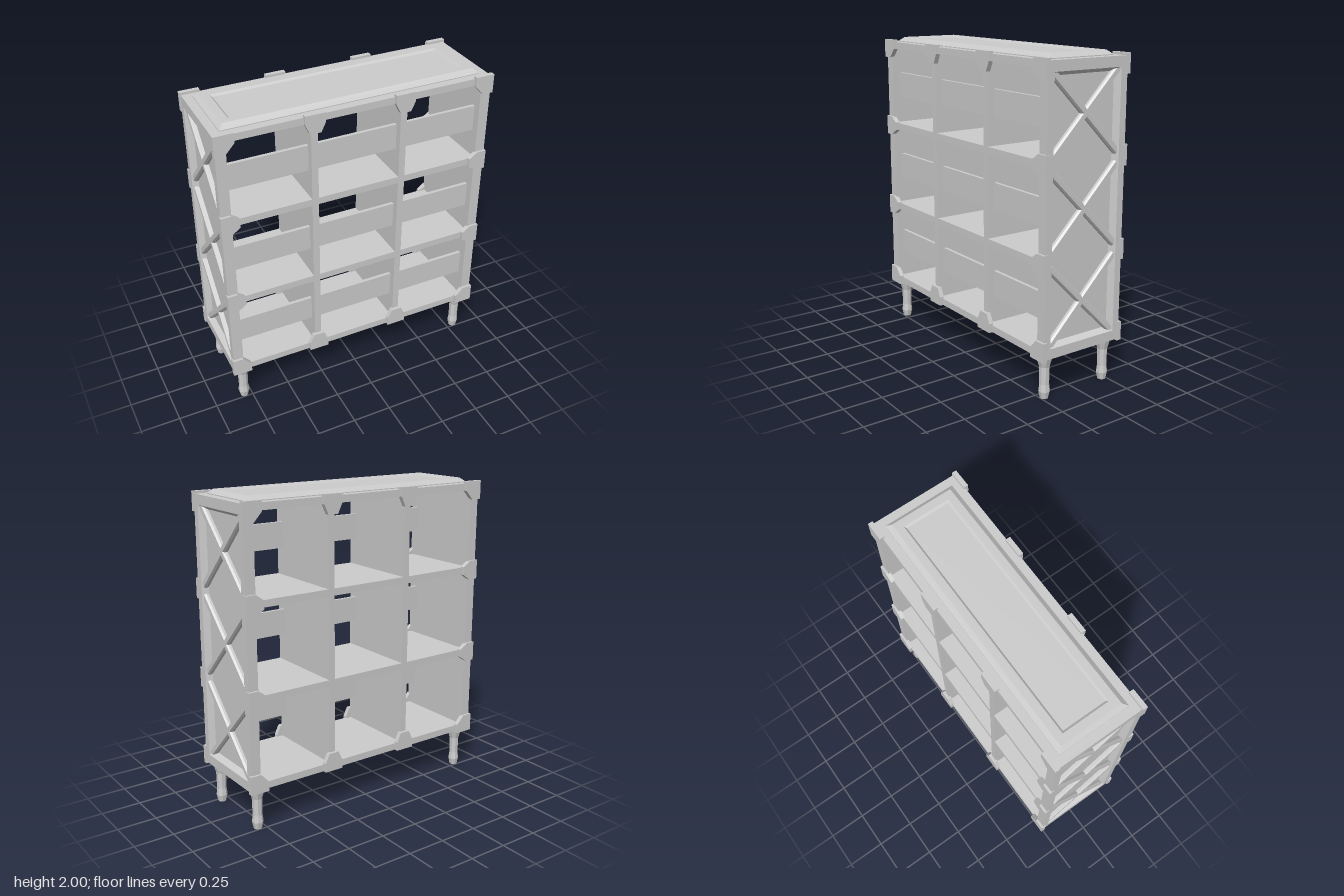
import * as THREE from 'three';

const material = new THREE.MeshStandardMaterial({ color: 0xcccccc, flatShading: true });

function add(parent, name, geometry, x = 0, y = 0, z = 0) {
  const mesh = new THREE.Mesh(geometry, material);
  mesh.name = name;
  mesh.position.set(x, y, z);
  parent.add(mesh);
  return mesh;
}

// Solid built from rectangles [halfWidth, halfHeight, level] joined in order and capped at both ends
function rectLoft(levels) {
  const loops = levels.map(([w, h, d]) => [[-w, -h, d], [w, -h, d], [w, h, d], [-w, h, d]]);
  const points = [];
  const quad = (a, b, c, d) => points.push(...a, ...b, ...c, ...a, ...c, ...d);
  for (let i = 0; i < loops.length - 1; i++) {
    for (let k = 0; k < 4; k++) {
      const n = (k + 1) % 4;
      quad(loops[i][k], loops[i][n], loops[i + 1][n], loops[i + 1][k]);
    }
  }
  const first = loops[0], last = loops[loops.length - 1];
  quad(first[3], first[2], first[1], first[0]);
  quad(...last);
  const geometry = new THREE.BufferGeometry();
  geometry.setAttribute('position', new THREE.Float32BufferAttribute(points, 3));
  geometry.computeVertexNormals();
  return geometry;
}

// Flat plate cut from an outline, mirrored by sx and sy
function plate(outline, sx = 1, sy = 1) {
  const shape = new THREE.Shape(outline.map(([x, y]) => new THREE.Vector2(x * sx, y * sy)));
  return new THREE.ExtrudeGeometry(shape, { depth: 0.03, bevelEnabled: false });
}

export function createModel() {
  const model = new THREE.Group();
  model.name = 'bookcase';

  // Boards: bottom, two shelves and top
  const boards = [['bottomBoard', 0.2925], ['shelf', 0.8375], ['shelf', 1.4025], ['topBoard', 1.948]];
  for (const [name, y] of boards) {
    add(model, name, new THREE.BoxGeometry(1.63, 0.044, 0.56), 0, y, 0);
  }

  // Upright dividers
  for (const x of [-0.285, 0.285]) {
    add(model, 'divider', new THREE.BoxGeometry(0.042, 1.66, 0.56), x, 1.12, 0);
  }

  // Rails across the front of each row
  for (const y of [0.565, 1.12, 1.68]) {
    add(model, 'frontRail', new THREE.BoxGeometry(1.63, 0.164, 0.022), 0, y, 0.224);
  }

  // Raised top with a sloped rim and a sunken centre
  const top = rectLoft([
    [0.815, 0.227, 0], [0.815, 0.227, 0.01], [0.787, 0.197, 0.035],
    [0.738, 0.15, 0.035], [0.725, 0.138, 0.024],
  ]);
  add(model, 'topPanel', top, 0, 1.965, 0).rotation.x = -Math.PI / 2;

  // Side frames with a recessed panel and three cross braces
  const sideGeometry = rectLoft([
    [0.285, 0.85, 0], [0.285, 0.85, 0.065], [0.24, 0.788, 0.065], [0.217, 0.765, 0.028],
  ]);
  const braceGeometry = rectLoft([[0.34, 0.023, 0], [0.34, 0.023, 0.018], [0.34, 0.014, 0.03]]);
  for (const s of [-1, 1]) {
    const side = new THREE.Group();
    side.name = s > 0 ? 'leftSide' : 'rightSide';
    side.position.set(s * 0.805, 1.12, 0);
    side.rotation.y = s * Math.PI / 2;
    add(side, 'sideFrame', sideGeometry);
    for (const y of [-0.548, 0, 0.548]) {
      for (const turn of [-1, 1]) {
        add(side, 'crossBrace', braceGeometry, 0, y, 0.026).rotation.z = turn * Math.PI / 4;
      }
    }
    model.add(side);
  }

  // Bracket outlines, drawn for the model's left and for the top edge
  const corner = [[0.878, 0.06], [0.757, 0.06], [0.757, 0], [0.81, -0.058], [0.878, -0.058]];
  const edge = [[0.875, -0.063], [0.875, 0.063], [0.812, 0.063], [0.76, 0.026], [0.76, -0.026], [0.812, -0.063]];
  const middle = [[-0.063, 0.06], [-0.063, 0.003], [-0.034, -0.058], [0.034, -0.058], [0.063, 0.003], [0.063, 0.06]];
  for (const z of [0.27, -0.3]) {
    for (const s of [-1, 1]) {
      add(model, 'cornerBracket', plate(corner, s, 1), 0, 1.925, z);
      add(model, 'cornerBracket', plate(corner, s, -1), 0, 0.322, z);
      add(model, 'middleBracket', plate(middle, 1, 1), s * 0.285, 1.925, z);
      add(model, 'middleBracket', plate(middle, 1, -1), s * 0.285, 0.327, z);
      for (const y of [0.838, 1.403]) add(model, 'shelfBracket', plate(edge, s), 0, y, z);
    }
  }

  // Eight-sided turned legs
  const legProfile = [[0, 0], [0.024, 0], [0.033, 0.045], [0.028, 0.09], [0.03, 0.2], [0.045, 0.255], [0.045, 0.275]]
    .map(([r, y]) => new THREE.Vector2(r / Math.cos(Math.PI / 8), y));
  const legGeometry = new THREE.LatheGeometry(legProfile, 8, Math.PI / 8);
  for (const x of [-0.8, 0.8]) {
    for (const z of [-0.225, 0.225]) add(model, 'leg', legGeometry, x, 0, z);
  }

  return model;
}
